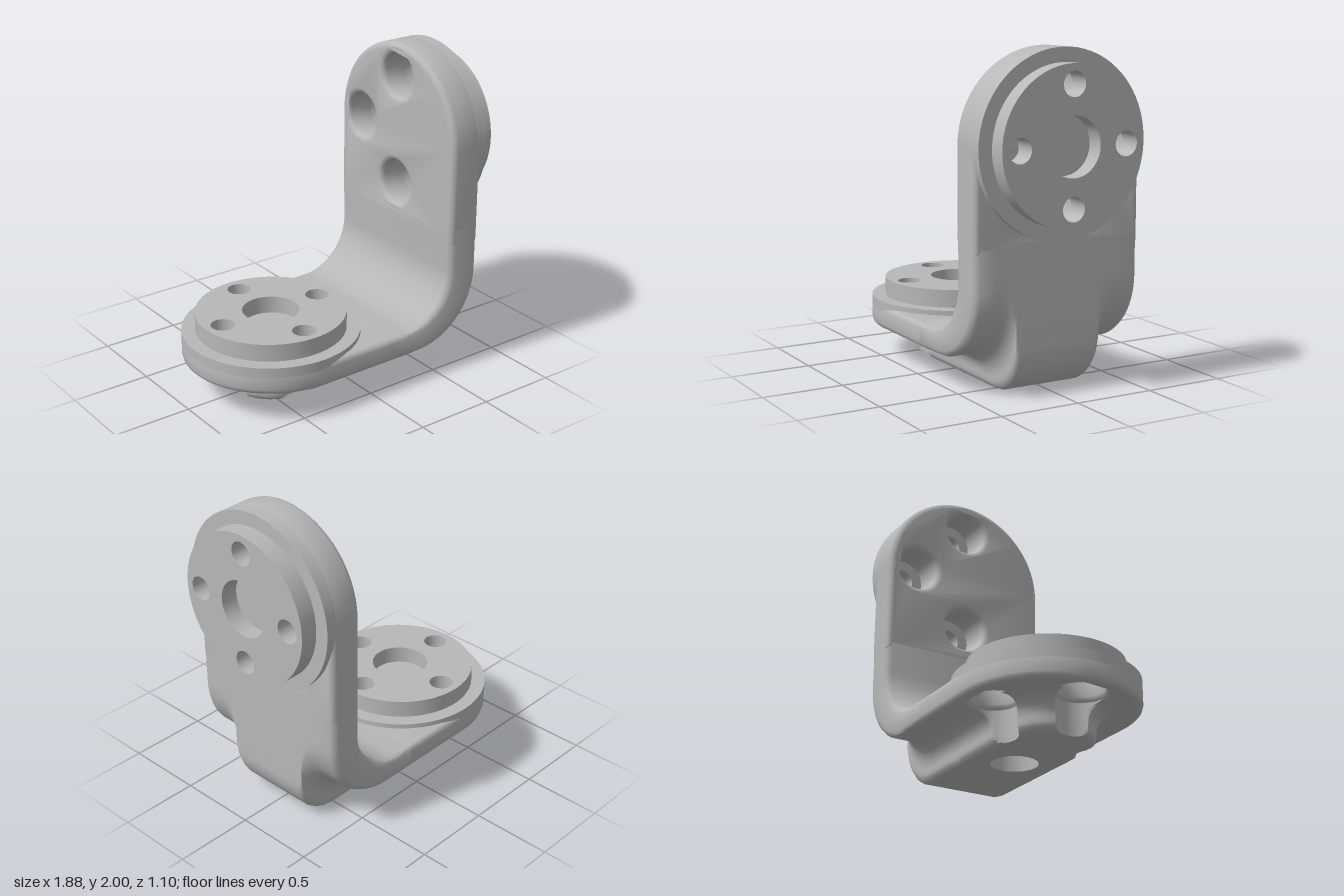
import * as THREE from 'three';
import { toCreasedNormals } from 'three/addons/utils/BufferGeometryUtils.js';

const R = 0.55;        // half width of both arms
const BOLT = 0.35;     // bolt circle radius
const BORE = 0.14;     // counterbore radius
const HOLE = 0.073;    // bolt hole radius
const FLOOR = 0.2;     // underside height of the horizontal arm
const CX = -0.39;      // centre of the horizontal flange

const metal = new THREE.MeshStandardMaterial({ color: 0xb8b8b8, side: THREE.DoubleSide });
metal.name = 'grey metal';

function mesh(name, geometry, crease = 0.6) {
  const m = new THREE.Mesh(toCreasedNormals(geometry, crease), metal);
  m.name = name;
  return m;
}

function circle(x, y, r, Type = THREE.Path) {
  return new Type().absarc(x, y, r, 0, Math.PI * 2, false);
}

function addBoltHoles(shape, r) {
  for (const [x, y] of [[1, 0], [-1, 0], [0, 1], [0, -1]]) shape.holes.push(circle(x * BOLT, y * BOLT, r));
  return shape;
}

function slab(name, shape, from, to, bevel = 0) {
  const geo = new THREE.ExtrudeGeometry(shape, {
    depth: to - from - 2 * bevel, curveSegments: 40, bevelEnabled: bevel > 0,
    bevelSize: bevel, bevelThickness: bevel, bevelOffset: -bevel, bevelSegments: 3,
  });
  return mesh(name, geo.translate(0, 0, from + bevel));
}

// Surface through rows of points
function grid(rows, closed) {
  const n = rows[0].length, index = [];
  for (let i = 0; i < rows.length - 1; i++) {
    for (let j = 0; j < (closed ? n : n - 1); j++) {
      const k = (j + 1) % n;
      const a = i * n + j, b = a + n, c = i * n + k, d = c + n;
      index.push(a, b, c, b, d, c);
    }
  }
  const geo = new THREE.BufferGeometry();
  geo.setAttribute('position', new THREE.Float32BufferAttribute(rows.flat(2), 3));
  geo.setIndex(index);
  return geo;
}

// Round-ended plate with raised seat and bolted flange, facing local +z
function createArm(name, thick, seatTop, flangeTop) {
  const arm = new THREE.Group();
  arm.name = name;
  const tail = 0.6, bevel = 0.035;
  const plate = new THREE.Shape().moveTo(-R, -tail).lineTo(R, -tail).lineTo(R, 0).absarc(0, 0, R, 0, Math.PI, false);
  plate.closePath();
  arm.add(slab('armPlate', addBoltHoles(plate, BORE), 0, thick, bevel));
  const disc = (r, hole) => addBoltHoles(circle(0, 0, r, THREE.Shape), hole);
  arm.add(slab('seatBase', disc(R, BORE), thick - bevel, thick + 0.01));
  arm.add(slab('seatTop', disc(R, HOLE), thick + 0.01, seatTop));
  const flange = disc(0.465, HOLE);
  flange.holes.push(circle(0, 0, 0.175));   // blind centre recess
  arm.add(slab('flange', flange, seatTop, flangeTop));
  return arm;
}

// Rib flank: [outward offset, height], rounded foot then concave fillet
const flank = [[-0.045, 0], [-0.025, 0.006], [-0.007, 0.022], [0, 0.045]];
for (let i = 0; i <= 8; i++) {
  const t = (i / 8) * Math.PI / 2;
  flank.push([0.13 * (1 - Math.cos(t)), 0.07 + 0.13 * Math.sin(t)]);
}

// Path made of a straight run, a quarter bend and a straight run
function bendPoint(s, x0, y0, x1, y1, r) {
  if (s < 0) return [THREE.MathUtils.lerp(x1 - r, x0, -s), y0];
  if (s > 1) return [x1, THREE.MathUtils.lerp(y0 + r, y1, s - 1)];
  const t = s * Math.PI / 2;
  return [x1 - r + r * Math.sin(t), y0 + r - r * Math.cos(t)];
}

// Elbow joining the arms, with the rib fading into the upright face
function createElbow() {
  // half section: z, position across the plate thickness, rib depth
  const half = flank.map(([e, y]) => [0.28 + e, 1, 1 - y / FLOOR]);
  half.push([0.515, 1, 0], [0.54, 0.93, 0], [0.55, 0.8, 0], [0.55, 0.2, 0], [0.54, 0.07, 0], [0.515, 0, 0]);
  const section = [...half, ...half.map(([z, a, b]) => [-z, a, b]).reverse()];
  const stations = [-1, -0.5];
  for (let i = 0; i <= 24; i++) stations.push(i / 24);
  stations.push(1.25, 1.5, 1.75, 2);
  const rows = stations.map((s) => {
    const inner = bendPoint(s, 0.12, 0.35, 0.57, 0.94, 0.33);
    const outer = bendPoint(s, 0.12, FLOOR, 0.79, 0.94, 0.45);
    const rib = bendPoint(s, 0.12, 0, 0.79, 0.94, 0.28);
    return section.map(([z, a, b]) => {
      const [x, y] = [0, 1].map((k) => inner[k] + (outer[k] - inner[k]) * a + (rib[k] - outer[k]) * b);
      return [x, y, z];
    });
  });
  return mesh('elbow', grid(rows, true), 0.7);
}

// Rib below the horizontal arm, notched by the counterbores
function createRib() {
  const rib = new THREE.Group();
  rib.name = 'rib';
  const spine = [];   // centre x and outward normal along the outline
  const sides = 64, arcs = 80, xEnd = 0.14;
  for (let i = 0; i < sides; i++) spine.push([xEnd + (CX - xEnd) * i / sides, 0, 1]);
  for (let i = 0; i <= arcs; i++) {
    const t = Math.PI * i / arcs;
    spine.push([CX, -Math.sin(t), Math.cos(t)]);
  }
  for (let i = sides - 1; i >= 0; i--) spine.push([xEnd + (CX - xEnd) * i / sides, 0, -1]);

  const rows = flank.map(([e, y]) => spine.map(([cx, nx, nz]) => {
    let x = cx + nx * (0.28 + e), z = nz * (0.28 + e);
    const dx = x - CX;
    if (Math.abs(dx) < BORE) {
      const limit = BOLT - Math.sqrt(BORE * BORE - dx * dx);
      z = THREE.MathUtils.clamp(z, -limit, limit);
    }
    if (Math.abs(z) < BORE && x < CX) x = Math.max(x, CX - BOLT + Math.sqrt(BORE * BORE - z * z));
    return [x, y, z];
  }));
  rib.add(mesh('ribFlank', grid(rows, false), 0.7));

  const foot = new THREE.Shape(rows[0].map(([x, , z]) => new THREE.Vector2(x, z)));
  foot.holes.push(circle(CX + BOLT, 0, BORE));
  rib.add(mesh('ribFoot', new THREE.ShapeGeometry(foot, 40).rotateX(Math.PI / 2)));

  const bore = mesh('ribBore', new THREE.CylinderGeometry(BORE, BORE, FLOOR + 0.01, 40, 1, true));
  bore.position.set(CX + BOLT, (FLOOR + 0.01) / 2, 0);
  rib.add(bore);
  return rib;
}

export function createModel() {
  const model = new THREE.Group();
  model.name = 'angleBracket';

  const upright = createArm('uprightArm', 0.22, 0.26, 0.37);
  upright.rotation.y = Math.PI / 2;
  upright.position.set(0.57, 1.45, 0);

  const base = createArm('baseArm', 0.15, 0.18, 0.29);
  base.quaternion.setFromRotationMatrix(new THREE.Matrix4().makeBasis(
    new THREE.Vector3(0, 0, -1), new THREE.Vector3(-1, 0, 0), new THREE.Vector3(0, 1, 0)));
  base.position.set(CX, FLOOR, 0);

  model.add(upright, base, createElbow(), createRib());
  return model;
}
